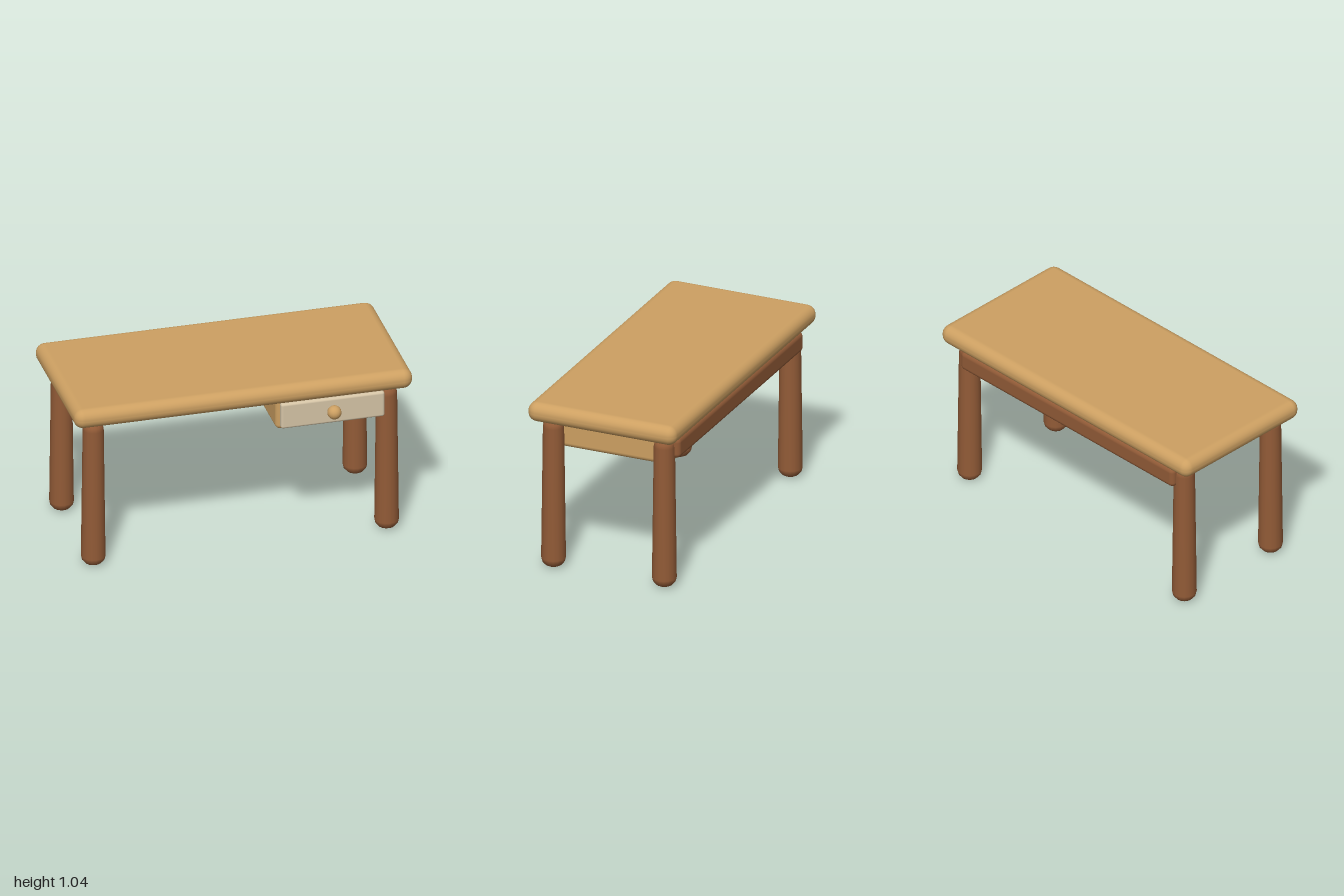
import * as THREE from 'three';
import { RoundedBoxGeometry } from 'three/addons/geometries/RoundedBoxGeometry.js';

export function createModel() {
  const group = new THREE.Group();
  group.name = 'desk';

  const material = (name, color) => {
    const m = new THREE.MeshStandardMaterial({ color });
    m.name = name;
    return m;
  };
  const lightWood = material('light wood', 0xcda062);
  const darkWood = material('dark wood', 0x925b37);
  const cream = material('cream paint', 0xd5c4a6);

  const add = (name, geometry, mat, x, y, z) => {
    const mesh = new THREE.Mesh(geometry, mat);
    mesh.name = name;
    mesh.position.set(x, y, z);
    group.add(mesh);
    return mesh;
  };

  // Rounded box given by its limits on each axis
  const roundedBox = (name, mat, [x0, x1], [y0, y1], [z0, z1], radius) =>
    add(name, new RoundedBoxGeometry(x1 - x0, y1 - y0, z1 - z0, 3, radius), mat,
      (x0 + x1) / 2, (y0 + y1) / 2, (z0 + z1) / 2);

  // Thick slab with rounded edges
  roundedBox('tableTop', lightWood, [-1, 1], [0.922, 1.041], [-0.48, 0.45], 0.056);

  // Rail across the back, just outside the legs
  roundedBox('backRail', darkWood, [-0.86, 0.86], [0.795, 0.922], [-0.452, -0.375], 0.03);

  // Drawer case, front panel and round knob
  roundedBox('drawerCase', lightWood, [0.2, 0.845], [0.737, 0.93], [-0.385, 0.385], 0.03);
  roundedBox('drawerFront', cream, [0.222, 0.835], [0.757, 0.917], [0.37, 0.418], 0.015);
  add('drawerKnob', new THREE.SphereGeometry(0.041, 16, 12), lightWood, 0.53, 0.837, 0.439);

  // Four tapered legs with rounded ends
  const profile = [
    [0, 0], [0.022, 0], [0.049, 0.014], [0.066, 0.034], [0.071, 0.056],
    [0.061, 0.868], [0.056, 0.89], [0.043, 0.909], [0.018, 0.922], [0, 0.922],
  ].map(([r, y]) => new THREE.Vector2(r, y));
  const legGeometry = new THREE.LatheGeometry(profile, 16);
  for (const [side, x] of [['Left', 0.867], ['Right', -0.867]]) {
    add(`front${side}Leg`, legGeometry, darkWood, x, 0, 0.333);
    add(`back${side}Leg`, legGeometry, darkWood, x, 0, -0.362);
  }

  return group;
}
